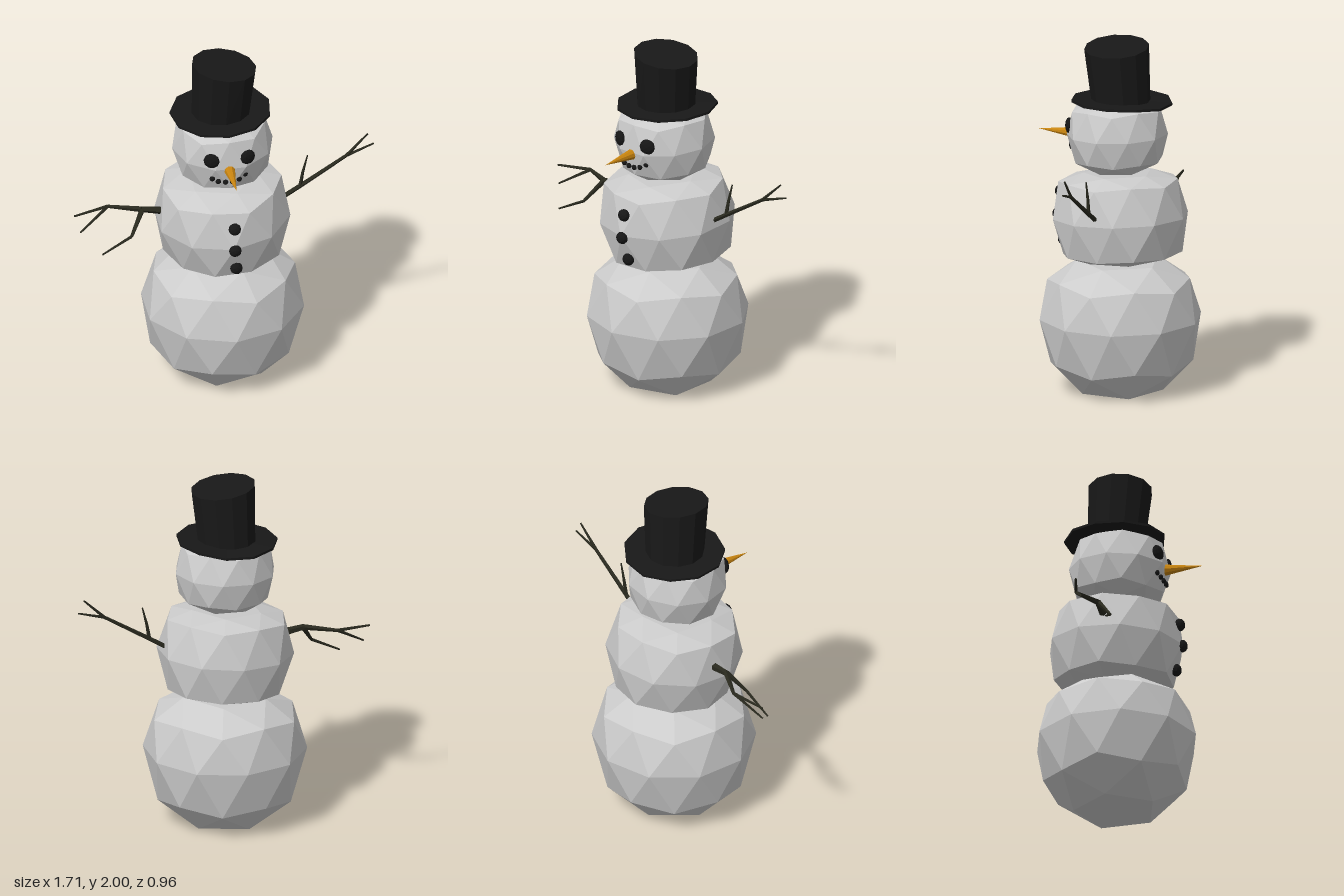
import * as THREE from 'three';

const mat = (color) => new THREE.MeshStandardMaterial({ color, flatShading: true, side: THREE.DoubleSide });
const V = (p) => new THREE.Vector3(...p);

// Heights of the vertex rows of a subdivided icosahedron standing on one corner
const ROWS = [-1, -0.851, -0.526, -0.447, 0, 0.447, 0.526, 0.851, 1];

// Faceted snowball: each row of vertices is moved to a given height, flattening the poles
function snowball(r, heights) {
  const g = new THREE.IcosahedronGeometry(1, 1);
  g.rotateZ(-Math.atan(2 / (1 + Math.sqrt(5))));
  const p = g.attributes.position;
  for (let i = 0; i < p.count; i++) {
    const y = p.getY(i);
    let k = 0;
    ROWS.forEach((row, j) => { if (Math.abs(row - y) < Math.abs(ROWS[k] - y)) k = j; });
    p.setXYZ(i, p.getX(i) * r, heights[k], p.getZ(i) * r);
  }
  g.computeVertexNormals();
  return g;
}

export function createModel() {
  const root = new THREE.Group();
  root.name = 'snowman';
  const snow = mat(0xcccccc), black = mat(0x181818), coal = mat(0x161616);
  const wood = mat(0x29291e), orange = mat(0xc98510);

  const add = (name, geo, material, pos = [0, 0, 0], parent = root) => {
    const m = new THREE.Mesh(geo, material);
    m.name = name;
    m.position.set(...pos);
    parent.add(m);
    return m;
  };

  // Three stacked snowballs, the upper two a little tilted
  add('base', snowball(0.46, [0, 0, 0.18, 0.14, 0.42, 0.62, 0.65, 0.74, 0.74].map((y, i) => (i === 2 ? 0.14 : i === 3 ? 0.18 : y))), snow, [-0.015, 0, -0.02]);

  const torso = add('torso', snowball(0.385, [-0.255, -0.255, -0.215, -0.205, 0, 0.195, 0.21, 0.245, 0.245]), snow, [-0.017, 1.0, -0.02]);
  torso.rotation.set(0.05, 0, 0.05);

  const head = add('head', snowball(0.285, [-0.21, -0.21, -0.155, -0.14, 0, 0.14, 0.155, 0.19, 0.19]), snow, [-0.02, 1.47, 0]);
  head.rotation.set(0.03, Math.PI / 10, 0.03);

  // Top hat: thin tilted brim with a drooping back, flared crown with a slanted top
  const brimGeo = new THREE.CylinderGeometry(0.285, 0.285, 0.014, 11);
  const bp = brimGeo.attributes.position;
  for (let i = 0; i < bp.count; i++) if (bp.getZ(i) < -0.2) bp.setY(i, bp.getY(i) - 0.01);
  const brim = add('hatBrim', brimGeo, black, [-0.025, 1.665, -0.025]);
  brim.rotation.z = 0.04;

  const crownGeo = new THREE.CylinderGeometry(0.182, 0.165, 0.32, 12);
  const cp = crownGeo.attributes.position;
  for (let i = 0; i < cp.count; i++) {
    if (cp.getY(i) > 0) {
      cp.setY(i, cp.getY(i) - cp.getX(i) * 0.13);
      cp.setX(i, cp.getX(i) + 0.015);
      cp.setZ(i, cp.getZ(i) + 0.02);
    }
  }
  crownGeo.computeVertexNormals();
  add('hatCrown', crownGeo, black, [-0.025, 1.815, -0.02]);

  // Coal eyes, mouth and buttons
  const lump = (name, pos, r, depth, yaw = 0) => {
    const m = add(name, new THREE.IcosahedronGeometry(r, 1), coal, pos);
    m.scale.z = depth;
    m.rotation.y = yaw;
  };
  lump('rightEye', [-0.125, 1.51, 0.25], 0.046, 0.5, -0.35);
  lump('leftEye', [0.08, 1.515, 0.25], 0.046, 0.5, 0.35);
  [[-0.12, 1.39, 0.245], [-0.088, 1.376, 0.257], [-0.048, 1.37, 0.262], [-0.008, 1.37, 0.262],
    [0.03, 1.38, 0.257], [0.066, 1.402, 0.245]].forEach((p) => lump('mouthCoal', p, 0.016, 0.8));
  [[-0.01, 1.105, 0.345], [-0.01, 0.973, 0.36], [0.003, 0.835, 0.322]].forEach((p) => lump('button', p, 0.036, 0.85));

  // Carrot nose
  const nose = add('nose', new THREE.ConeGeometry(0.034, 0.235, 9), orange, [-0.025, 1.446, 0.365]);
  nose.rotation.x = Math.PI / 2;

  // Twig arms: tapered five-sided sticks along short paths
  const twig = (group, points, radii) => {
    for (let i = 0; i < points.length - 1; i++) {
      const a = V(points[i]), b = V(points[i + 1]);
      const dir = b.clone().sub(a);
      const m = add('twig', new THREE.CylinderGeometry(radii[i + 1], radii[i], dir.length(), 5), wood, a.clone().add(b).multiplyScalar(0.5).toArray(), group);
      m.quaternion.setFromUnitVectors(new THREE.Vector3(0, 1, 0), dir.normalize());
    }
  };
  const arm = (name, twigs) => {
    const g = new THREE.Group();
    g.name = name;
    twigs.forEach(([points, radii]) => twig(g, points, radii));
    root.add(g);
  };
  arm('leftArm', [
    [[[0.31, 1.045, -0.025], [0.43, 1.12, -0.025], [0.69, 1.28, -0.038], [0.815, 1.4, -0.055]], [0.014, 0.013, 0.01, 0.005]],
    [[[0.69, 1.28, -0.038], [0.85, 1.33, -0.06]], [0.009, 0.005]],
    [[[0.425, 1.115, -0.025], [0.44, 1.2, -0.028], [0.468, 1.31, -0.03]], [0.012, 0.009, 0.004]],
  ]);
  arm('rightArm', [
    [[[-0.34, 1.055, 0], [-0.48, 1.078, 0], [-0.655, 1.068, -0.078], [-0.855, 1.056, -0.025]], [0.024, 0.017, 0.01, 0.006]],
    [[[-0.655, 1.068, -0.078], [-0.825, 0.96, 0]], [0.01, 0.005]],
    [[[-0.475, 1.078, 0.005], [-0.55, 0.96, 0.09], [-0.72, 0.872, 0.112]], [0.016, 0.009, 0.005]],
  ]);

  return root;
}
